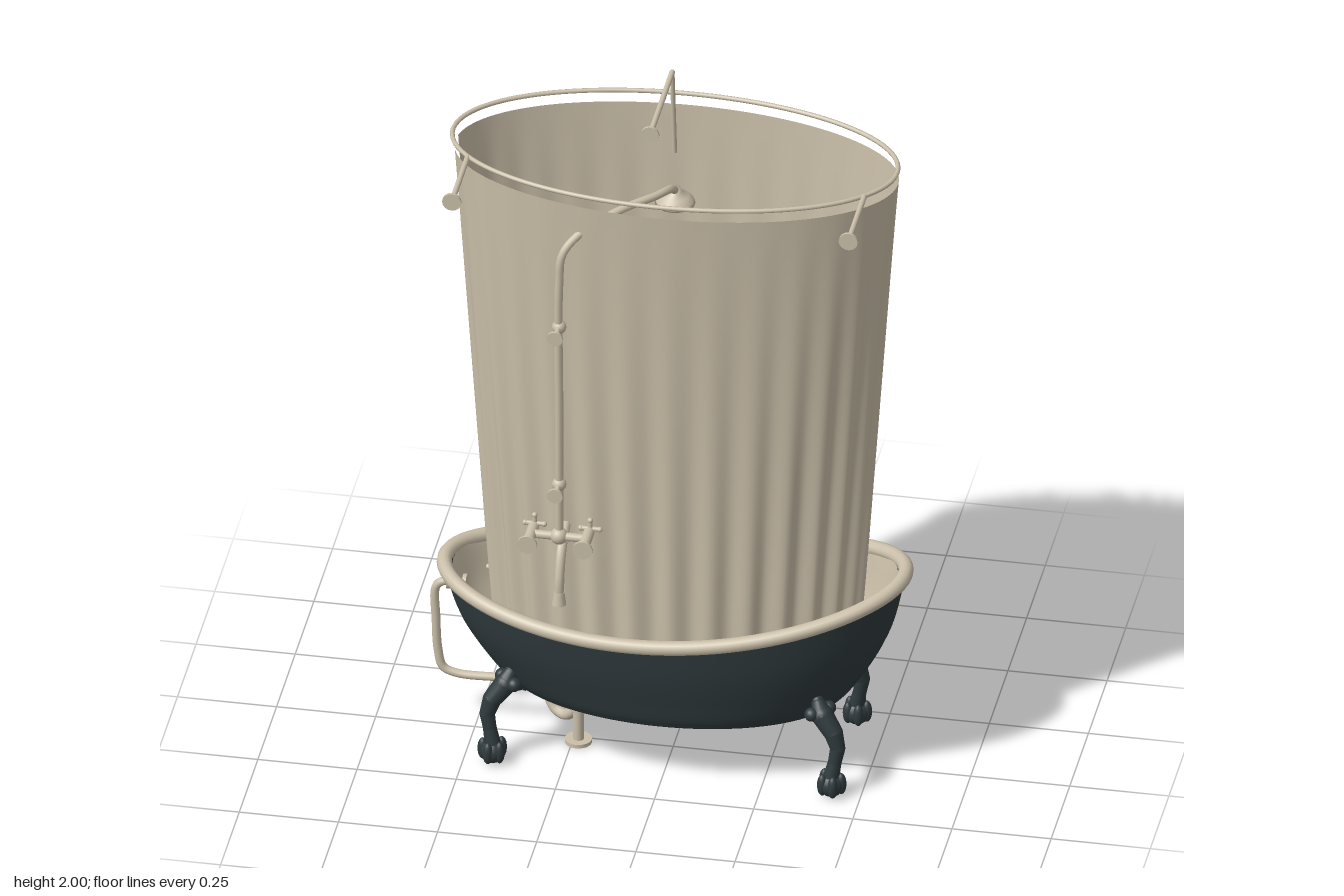
import * as THREE from 'three';
import { ParametricGeometry } from 'three/addons/geometries/ParametricGeometry.js';

const CZ = -0.027; // z of the tub and curtain axis
const V = (x, y, z) => new THREE.Vector3(x, y, z);

export function createModel() {
  const model = new THREE.Group();
  model.name = 'clawfootTubWithShower';
  const cream = new THREE.MeshStandardMaterial({ color: 0xcabfa9, side: THREE.DoubleSide });
  cream.name = 'cream';
  const dark = new THREE.MeshStandardMaterial({ color: 0x2f3a3d, side: THREE.DoubleSide });
  dark.name = 'dark slate';

  const add = (name, geo, mat = cream, parent = model) => {
    const mesh = new THREE.Mesh(geo, mat);
    mesh.name = name;
    parent.add(mesh);
    return mesh;
  };
  const curve = (pts, closed = false) =>
    new THREE.CatmullRomCurve3(pts.map((p) => V(...p)), closed, 'centripetal');
  const pipe = (name, pts, r, segs = 32, parent = model) =>
    add(name, new THREE.TubeGeometry(curve(pts), segs, r, 10), cream, parent);
  // Straight round bar, tapering from r0 at a to r1 at b
  const rod = (name, a, b, r0, r1 = r0, mat = cream, parent = model) => {
    const A = V(...a), B = V(...b);
    const mesh = add(name, new THREE.CylinderGeometry(r1, r0, A.distanceTo(B), 16), mat, parent);
    mesh.position.copy(A).add(B).multiplyScalar(0.5);
    mesh.quaternion.setFromUnitVectors(V(0, 1, 0), B.sub(A).normalize());
    return mesh;
  };
  const ball = (name, p, r, mat = cream, parent = model, scale = [1, 1, 1]) => {
    const mesh = add(name, new THREE.SphereGeometry(r, 16, 12), mat, parent);
    mesh.position.set(...p);
    mesh.scale.set(...scale);
    return mesh;
  };

  // Tub: elliptical sections rising to a rim that sweeps up at both ends
  const rimY = (x) => { const u = x / 0.585; return 0.44 + 0.04 * u + 0.075 * u * u; };
  const profile = curve([ // half length, height fraction, half width
    [0.002, 0, 0.001], [0.25, 0, 0.13], [0.4, 0, 0.215], [0.43, 0.06, 0.228],
    [0.49, 0.3, 0.245], [0.545, 0.6, 0.262], [0.583, 1, 0.275],
  ]);
  const tubShell = (scale, lift) => new ParametricGeometry((u, v, out) => {
    const p = profile.getPoint(v), a = -u * Math.PI * 2;
    const x = p.x * scale * Math.cos(a);
    const y = 0.175 + (rimY(x) - 0.175) * p.y + lift * (1 - p.y);
    out.set(x, y, CZ + p.z * scale * Math.sin(a));
  }, 72, 36);
  add('tubOuterShell', tubShell(1, 0), dark);
  add('tubInnerShell', tubShell(0.96, 0.025), cream);
  const rim = [];
  for (let i = 0; i < 48; i++) {
    const a = (i / 48) * Math.PI * 2, x = 0.58 * Math.cos(a);
    rim.push([x, rimY(x), CZ + 0.274 * Math.sin(a)]);
  }
  add('tubRim', new THREE.TubeGeometry(curve(rim, true), 120, 0.019, 12, true));

  // Claw feet, splayed out to the four corners
  for (const sx of [-1, 1]) for (const sz of [-1, 1]) {
    const leg = new THREE.Group();
    leg.name = 'clawFoot';
    const at = (x, y, z) => [sx * x, y, CZ + 0.005 + sz * z];
    const path = [[0.385, 0.25, 0.135], [0.4, 0.215, 0.148], [0.43, 0.175, 0.16],
      [0.442, 0.135, 0.165], [0.435, 0.095, 0.168], [0.427, 0.055, 0.172]];
    const radii = [0.016, 0.028, 0.024, 0.019, 0.017, 0.02];
    for (let i = 0; i < path.length; i++) {
      ball('legJoint', at(...path[i]), radii[i], dark, leg);
      if (i) rod('legSegment', at(...path[i - 1]), at(...path[i]), radii[i - 1], radii[i], dark, leg);
    }
    ball('legScroll', at(0.375, 0.222, 0.16), 0.018, dark, leg);
    ball('legScroll', at(0.412, 0.225, 0.125), 0.018, dark, leg);
    ball('footBall', at(0.427, 0.032, 0.172), 0.032, dark, leg);
    for (let k = 0; k < 5; k++) {
      const a = (k / 5) * Math.PI * 2;
      const x = 0.427 + 0.025 * Math.cos(a), z = 0.172 + 0.025 * Math.sin(a);
      ball('toe', at(x, 0.036, z), 0.013, dark, leg, [1, 2.3, 1]);
    }
    model.add(leg);
  }

  // Curtain: tapered oval with a narrow opening at one end and folds that deepen downward
  add('curtain', new ParametricGeometry((u, v, out) => {
    const gap = 0.09, a = Math.PI + gap + u * (Math.PI * 2 - 2 * gap);
    const fold = 0.007 * Math.min(1, (1 - v) * 1.2) * Math.sin(a * 30);
    const rx = 0.458 + 0.1 * v + fold, rz = 0.204 + 0.064 * v + fold;
    out.set(0.004 + rx * Math.cos(a), 0.36 + 1.333 * v, CZ + rz * Math.sin(a));
  }, 300, 16));

  // Oval curtain rail with its wall stays and the hanger above
  const rail = [];
  for (let i = 0; i < 32; i++) {
    const a = (i / 32) * Math.PI * 2;
    rail.push([0.56 * Math.cos(a), 1.726, CZ + 0.268 * Math.sin(a)]);
  }
  add('curtainRail', new THREE.TubeGeometry(curve(rail, true), 120, 0.006, 8, true));
  const flange = (x, y, r, parent = model) =>
    rod('wallFlange', [x, y, 0.306], [x, y, 0.313], r, r, cream, parent);
  for (const x of [-0.5, 0.5]) {
    rod('railStay', [x, 1.726, 0.095], [x, 1.726, 0.31], 0.007);
    flange(x, 1.726, 0.024);
  }
  rod('hangerArm', [0, 1.98, 0.013], [0, 1.98, 0.31], 0.007);
  rod('hangerDrop', [0, 1.98, 0.013], [0, 1.726, -0.022], 0.006);
  ball('hangerElbow', [0, 1.98, 0.013], 0.007);
  flange(0, 1.98, 0.023);

  // Shower riser, curving over to the shower head
  const shower = new THREE.Group();
  shower.name = 'shower';
  model.add(shower);
  pipe('riserPipe', [[-0.24, 0.745, 0.252], [-0.24, 1.1, 0.252], [-0.24, 1.48, 0.252],
    [-0.232, 1.565, 0.245], [-0.19, 1.612, 0.21], [-0.1, 1.645, 0.135],
    [-0.03, 1.65, 0.07], [-0.004, 1.642, 0.02], [0, 1.61, CZ]], 0.0105, 100, shower);
  const head = [[0.001, 0.045], [0.014, 0.043], [0.016, 0.03], [0.034, 0.022],
    [0.047, 0.008], [0.05, 0], [0.001, -0.003]].map((p) => new THREE.Vector2(...p));
  add('showerHead', new THREE.LatheGeometry(head, 32), cream, shower).position.set(0, 1.575, CZ);
  for (const y of [0.895, 1.355]) {
    rod('riserBracket', [-0.24, y, 0.25], [-0.24, y, 0.31], 0.007, 0.007, cream, shower);
    ball('bracketCollar', [-0.24, y, 0.252], 0.018, cream, shower);
    flange(-0.24, y, 0.02, shower);
  }

  // Mixer: two valves with cross handles, joined by a bar, and a bent spout
  rod('mixerBar', [-0.31, 0.745, 0.255], [-0.17, 0.745, 0.255], 0.011, 0.011, cream, shower);
  ball('mixerBody', [-0.24, 0.745, 0.254], 0.022, cream, shower);
  for (const x of [-0.31, -0.17]) {
    rod('valveBody', [x, 0.745, 0.225], [x, 0.745, 0.31], 0.014, 0.014, cream, shower);
    rod('valveStem', [x, 0.745, 0.2], [x, 0.745, 0.23], 0.007, 0.007, cream, shower);
    flange(x, 0.745, 0.025, shower);
    for (const [dx, dy] of [[0.024, 0], [0, 0.024]]) {
      rod('crossHandle', [x - dx, 0.745 - dy, 0.207], [x + dx, 0.745 + dy, 0.207], 0.006, 0.006, cream, shower);
      for (const s of [-1, 1]) ball('handleTip', [x + s * dx, 0.745 + s * dy, 0.207], 0.007, cream, shower);
    }
  }
  rod('spoutLink', [-0.24, 0.745, 0.254], [-0.24, 0.71, 0.205], 0.012, 0.012, cream, shower);
  pipe('spout', [[-0.24, 0.56, 0.252], [-0.24, 0.62, 0.248], [-0.24, 0.685, 0.22],
    [-0.24, 0.72, 0.17], [-0.24, 0.73, 0.1], [-0.24, 0.73, 0.035]], 0.0125, 40, shower);
  ball('spoutEnd', [-0.24, 0.73, 0.035], 0.016, cream, shower);
  rod('spoutMouth', [-0.24, 0.545, 0.253], [-0.24, 0.58, 0.252], 0.018, 0.013, cream, shower);

  // Drain, overflow and trap plumbing
  rod('drainRing', [-0.32, 0.195, CZ], [-0.32, 0.206, CZ], 0.018);
  rod('drainPlug', [-0.32, 0.2, CZ], [-0.32, 0.209, CZ], 0.012, 0.012, dark);
  rod('overflowPlate', [-0.525, 0.4, CZ], [-0.535, 0.4, CZ], 0.024);
  ball('wallKnob', [-0.43, 0.4, -0.092], 0.014);
  rod('wallKnobStem', [-0.43, 0.4, -0.092], [-0.49, 0.4, -0.115], 0.007);
  rod('overflowCollar', [-0.55, 0.4, CZ], [-0.575, 0.4, CZ], 0.018);
  pipe('overflowPipe', [[-0.54, 0.4, CZ], [-0.585, 0.4, CZ], [-0.603, 0.382, CZ], [-0.603, 0.29, CZ],
    [-0.598, 0.2, CZ], [-0.585, 0.15, CZ], [-0.55, 0.135, CZ], [-0.43, 0.135, CZ], [-0.32, 0.135, CZ]], 0.011, 70);
  rod('drainCollar', [-0.32, 0.12, CZ], [-0.32, 0.18, CZ], 0.018);
  pipe('drainTrap', [[-0.32, 0.15, CZ], [-0.318, 0.1, CZ], [-0.3, 0.067, -0.018], [-0.275, 0.06, -0.005],
    [-0.255, 0.075, 0.008], [-0.235, 0.105, 0.02]], 0.014, 40);
  rod('wastePipe', [-0.235, 0, 0.02], [-0.235, 0.115, 0.02], 0.014);
  rod('wasteCollar', [-0.235, 0.095, 0.02], [-0.235, 0.12, 0.02], 0.02);
  rod('floorFlange', [-0.235, 0, 0.02], [-0.235, 0.01, 0.02], 0.034);

  return model;
}
